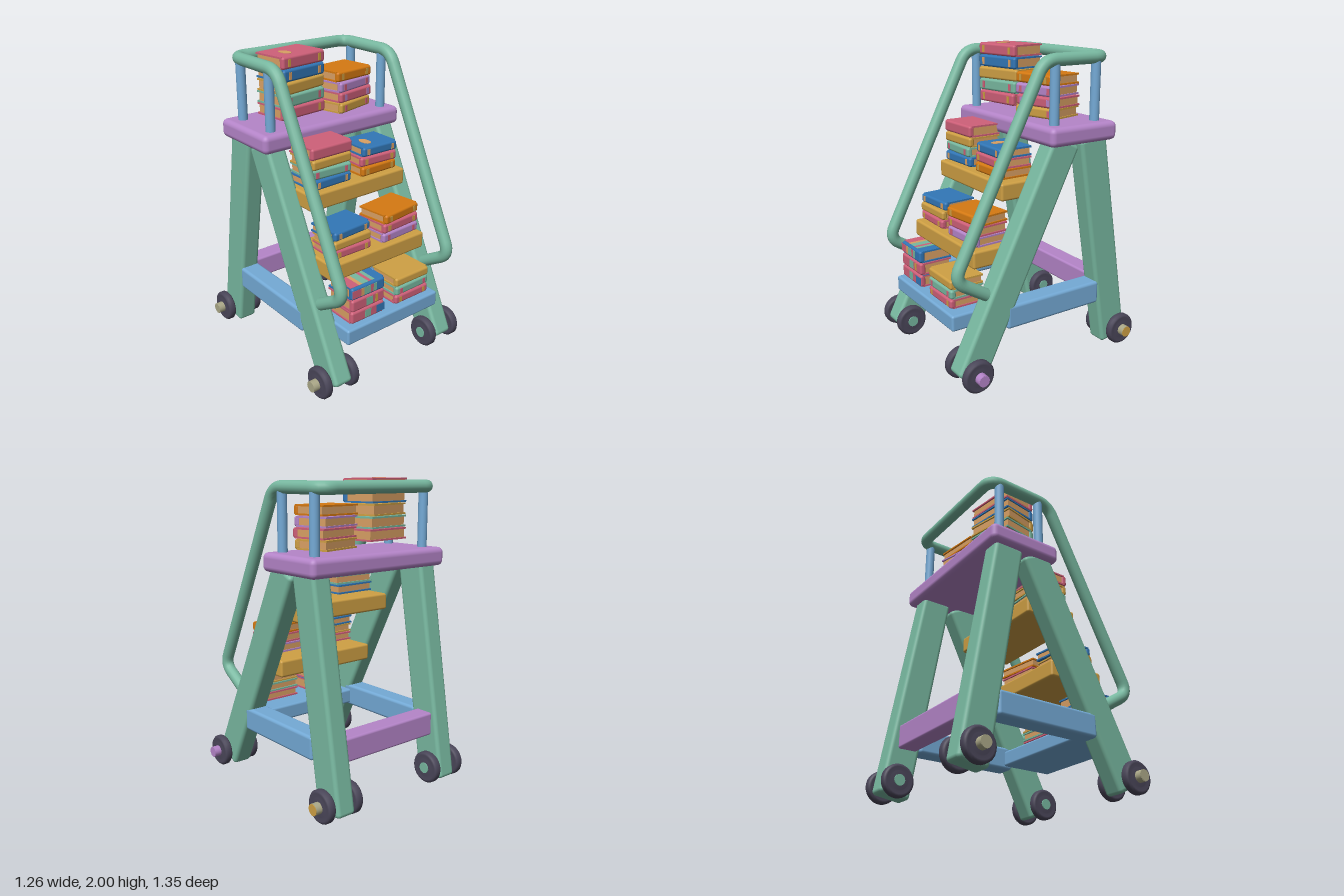
import * as THREE from 'three';
import { RoundedBoxGeometry } from 'three/addons/geometries/RoundedBoxGeometry.js';

const COLORS = {
  green: 0x78b8a0, purple: 0xb585c9, lightBlue: 0x74aad6, gold: 0xcfa044, dark: 0x4a4659,
  khaki: 0xaba888, pink: 0xcf6079, blue: 0x3277b7, orange: 0xd67a12, pages: 0xd9a064,
};
const mats = {};
for (const [name, color] of Object.entries(COLORS)) {
  mats[name] = new THREE.MeshStandardMaterial({ color });
  mats[name].name = name;
}

function add(parent, name, geometry, color, x = 0, y = 0, z = 0) {
  const mesh = new THREE.Mesh(geometry, mats[color]);
  mesh.name = name;
  mesh.position.set(x, y, z);
  parent.add(mesh);
  return mesh;
}

// Rounded box given by its limits on each axis
function block(parent, name, color, [x0, x1], [y0, y1], [z0, z1], r = 0.02) {
  const geo = new RoundedBoxGeometry(x1 - x0, y1 - y0, z1 - z0, 3, r);
  return add(parent, name, geo, color, (x0 + x1) / 2, (y0 + y1) / 2, (z0 + z1) / 2);
}

// Slanted leg between two points in the side plane
function leg(parent, name, x, [zb, yb], [zt, yt], depth) {
  const len = Math.hypot(zt - zb, yt - yb);
  const geo = new RoundedBoxGeometry(0.135, len, depth, 3, 0.025);
  const mesh = add(parent, name, geo, 'green', x, (yb + yt) / 2, (zb + zt) / 2);
  mesh.rotation.x = Math.atan2(zt - zb, yt - yb);
}

// Path of straight runs joined by rounded corners
function roundedPath(points, radius) {
  const path = new THREE.CurvePath();
  let start = points[0];
  for (let i = 1; i < points.length - 1; i++) {
    const p = points[i];
    const toward = (q) => p.clone().add(q.clone().sub(p).setLength(radius));
    const a = toward(points[i - 1]);
    const b = toward(points[i + 1]);
    path.add(new THREE.LineCurve3(start, a));
    path.add(new THREE.QuadraticBezierCurve3(a, p, b));
    start = b;
  }
  path.add(new THREE.LineCurve3(start, points[points.length - 1]));
  return path;
}

// Bevelled tyre lying along x
function tyreGeometry() {
  const profile = [[0, -0.028], [0.06, -0.028], [0.065, -0.022], [0.085, -0.028], [0.097, -0.024],
    [0.105, -0.014], [0.105, 0.014], [0.097, 0.024], [0.085, 0.028], [0.065, 0.022], [0.06, 0.028], [0, 0.028]];
  return new THREE.LatheGeometry(profile.map(([r, h]) => new THREE.Vector2(r, h)), 28).rotateZ(Math.PI / 2);
}

const rod = (r, len) => new THREE.CylinderGeometry(r, r, len, 20).rotateZ(Math.PI / 2);

// Pair of wheels either side of a leg foot, with axle and outer hub
function caster(parent, side, z, hubColor, capColor) {
  const g = new THREE.Group();
  g.name = 'caster';
  g.position.set(0, 0.105, z);
  for (const x of [0.345, 0.557]) add(g, 'wheel', tyreGeometry(), 'dark', side * x);
  add(g, 'axle', rod(0.036, 0.23), 'green', side * 0.425);
  add(g, 'hub', rod(0.037, 0.08), hubColor, side * 0.588);
  add(g, 'hubCap', rod(0.036, 0.004), capColor, side * 0.629);
  parent.add(g);
}

// Book with its spine toward +z; trim is the colour of the spine bands
function book(parent, { color, trim = 'gold', w, h, d, x, y, z, turn = 0, emblem, stripes }) {
  const g = new THREE.Group();
  g.name = 'book';
  g.position.set(x, y + h / 2, z);
  g.rotation.y = THREE.MathUtils.degToRad(turn);
  const t = 0.011;
  add(g, 'spine', new RoundedBoxGeometry(w, h, 0.04, 2, 0.015), color, 0, 0, d / 2 - 0.02);
  for (const s of [-1, 1]) {
    add(g, 'cover', new THREE.BoxGeometry(w, t, d - 0.02), color, 0, s * (h - t) / 2, -0.01);
    if (!stripes && trim) {
      add(g, 'spineBand', new THREE.BoxGeometry(0.022, h * 0.6, 0.004), trim, s * w * 0.36, 0, d / 2 + 0.0005);
    }
  }
  add(g, 'pages', new THREE.BoxGeometry(w - 0.016, h - 2 * t, d - 0.045), 'pages', 0, 0, -0.012);
  if (emblem) {
    const disc = new THREE.CylinderGeometry(0.5, 0.5, 0.004, 12).scale(0.06, 1, 0.105);
    add(g, 'emblem', disc, 'pages', -w * 0.16, h / 2 + 0.001, 0.01);
  }
  // Stripes run across the cover and down the spine
  for (const [c, from, to] of stripes ?? []) {
    const sw = (to - from) * w;
    const sx = ((from + to) / 2 - 0.5) * w;
    add(g, 'coverStripe', new THREE.BoxGeometry(sw, 0.004, d - 0.02), c, sx, h / 2, -0.01);
    add(g, 'spineStripe', new THREE.BoxGeometry(sw, h - 0.028, 0.004), c, sx, 0, d / 2);
  }
  parent.add(g);
}

// Stack of books listed from the bottom up
function stack(parent, name, { x, y, z, w, d, pitch }, books) {
  const g = new THREE.Group();
  g.name = name;
  books.forEach((b, i) => book(g, { w, d, x, z, h: pitch - 0.004, y: y + i * pitch, ...b }));
  parent.add(g);
}

export function createModel() {
  const model = new THREE.Group();
  model.name = 'bookLadder';

  // Platform, steps and lower frame
  block(model, 'platform', 'purple', [-0.548, 0.548], [1.435, 1.555], [-0.483, 0.028], 0.035);
  block(model, 'upperStep', 'gold', [-0.392, 0.378], [1.107, 1.218], [-0.11, 0.275], 0.015);
  block(model, 'middleStep', 'gold', [-0.392, 0.38], [0.712, 0.825], [0.07, 0.48], 0.015);
  block(model, 'lowerStep', 'lightBlue', [-0.392, 0.378], [0.337, 0.442], [0.25, 0.635], 0.015);
  block(model, 'backBar', 'purple', [-0.385, 0.385], [0.32, 0.475], [-0.565, -0.435], 0.015);

  for (const s of [-1, 1]) {
    leg(model, 'frontLeg', s * 0.442, [0.577, 0.05], [-0.125, 1.46], 0.206);
    leg(model, 'backLeg', s * 0.442, [-0.567, 0.02], [-0.327, 1.46], 0.206);
    block(model, 'sideBar', 'lightBlue', [s * 0.442 - 0.069, s * 0.442 + 0.069], [0.32, 0.475], [-0.41, 0.315], 0.02);
    for (const z of [-0.058, -0.373]) {
      add(model, 'railPost', new THREE.CylinderGeometry(0.031, 0.031, 0.4, 20), 'lightBlue', s * 0.447, 1.735, z);
    }
  }

  // Handrail: one continuous tube around the back
  const side = [[0.40, 0.545], [0.655, 0.70], [0.025, 1.945], [-0.441, 1.945]];
  const railPoints = [
    ...side.map(([z, y]) => new THREE.Vector3(-0.447, y, z)),
    ...side.slice().reverse().map(([z, y]) => new THREE.Vector3(0.447, y, z)),
  ];
  add(model, 'handrail', new THREE.TubeGeometry(roundedPath(railPoints, 0.085), 240, 0.04, 16), 'green');

  // Wheels
  caster(model, 1, 0.565, 'purple', 'purple');
  caster(model, 1, -0.572, 'khaki', 'gold');
  caster(model, -1, 0.565, 'khaki', 'khaki');
  caster(model, -1, -0.572, 'khaki', 'khaki');

  // Books on the platform
  stack(model, 'platformLeftBooks', { x: -0.203, y: 1.605, z: -0.175, w: 0.352, d: 0.25, pitch: 0.079 }, [
    { color: 'pink', turn: 6 }, { color: 'green', trim: 'pink', turn: 9 }, { color: 'gold', trim: null, turn: 12 },
    { color: 'blue', trim: 'pages', turn: 9 }, { color: 'pink', turn: 8, emblem: true },
  ]);
  stack(model, 'platformRightBooks', { x: 0.207, y: 1.57, z: -0.18, w: 0.315, d: 0.25, pitch: 0.069 }, [
    { color: 'gold', trim: 'pink', turn: 14 }, { color: 'pink', trim: 'purple', turn: 11, x: 0.217 },
    { color: 'purple', trim: 'pink', turn: 13 }, { color: 'orange', trim: 'gold', turn: 7 },
  ]);

  // Books on the upper step
  stack(model, 'upperLeftBooks', { x: -0.205, y: 1.228, z: 0.13, w: 0.305, d: 0.235, pitch: 0.0655 }, [
    { color: 'blue', trim: 'pages', turn: 2 }, { color: 'green', trim: 'pink', turn: -2 },
    { color: 'gold', trim: null, turn: 2 }, { color: 'pink', trim: null, turn: 1, w: 0.315, h: 0.074 },
  ]);
  stack(model, 'upperRightBooks', { x: 0.178, y: 1.228, z: 0.135, w: 0.29, d: 0.235, pitch: 0.0645 }, [
    { color: 'orange', turn: 1 }, { color: 'pink', turn: -2 },
    { color: 'blue', trim: 'pages', turn: -1, x: 0.186, w: 0.278, emblem: true },
  ]);

  // Books on the middle step
  stack(model, 'middleLeftBooks', { x: -0.205, y: 0.84, z: 0.34, w: 0.295, d: 0.225, pitch: 0.0605 }, [
    { color: 'pink', turn: -1 }, { color: 'gold', trim: null, turn: 1 }, { color: 'blue', trim: 'pages', turn: 4, z: 0.328 },
  ]);
  stack(model, 'middleRightBooks', { x: 0.19, y: 0.838, z: 0.34, w: 0.315, d: 0.235, pitch: 0.0655 }, [
    { color: 'purple', trim: 'pink', turn: 3 }, { color: 'pink', turn: 4 }, { color: 'orange', turn: 7 },
  ]);

  // Books on the lower step
  stack(model, 'lowerLeftBooks', { x: -0.212, y: 0.46, z: 0.497, w: 0.265, d: 0.23, pitch: 0.084 }, [
    { color: 'pink', stripes: [['green', 0.4, 0.58], ['blue', 0.75, 1]] },
    { color: 'pink', stripes: [['green', 0.42, 0.62], ['gold', 0.7, 0.78]], turn: 1 },
    { color: 'blue', stripes: [['pink', 0.01, 0.26], ['pages', 0.26, 0.36], ['green', 0.36, 0.55], ['pink', 0.55, 0.64], ['green', 0.64, 0.74]] },
  ]);
  stack(model, 'lowerRightBooks', { x: 0.17, y: 0.457, z: 0.49, w: 0.285, d: 0.235, pitch: 0.063 }, [
    { color: 'pink' }, { color: 'green', trim: 'pink', turn: 1 }, { color: 'gold', trim: null },
  ]);

  return model;
}
